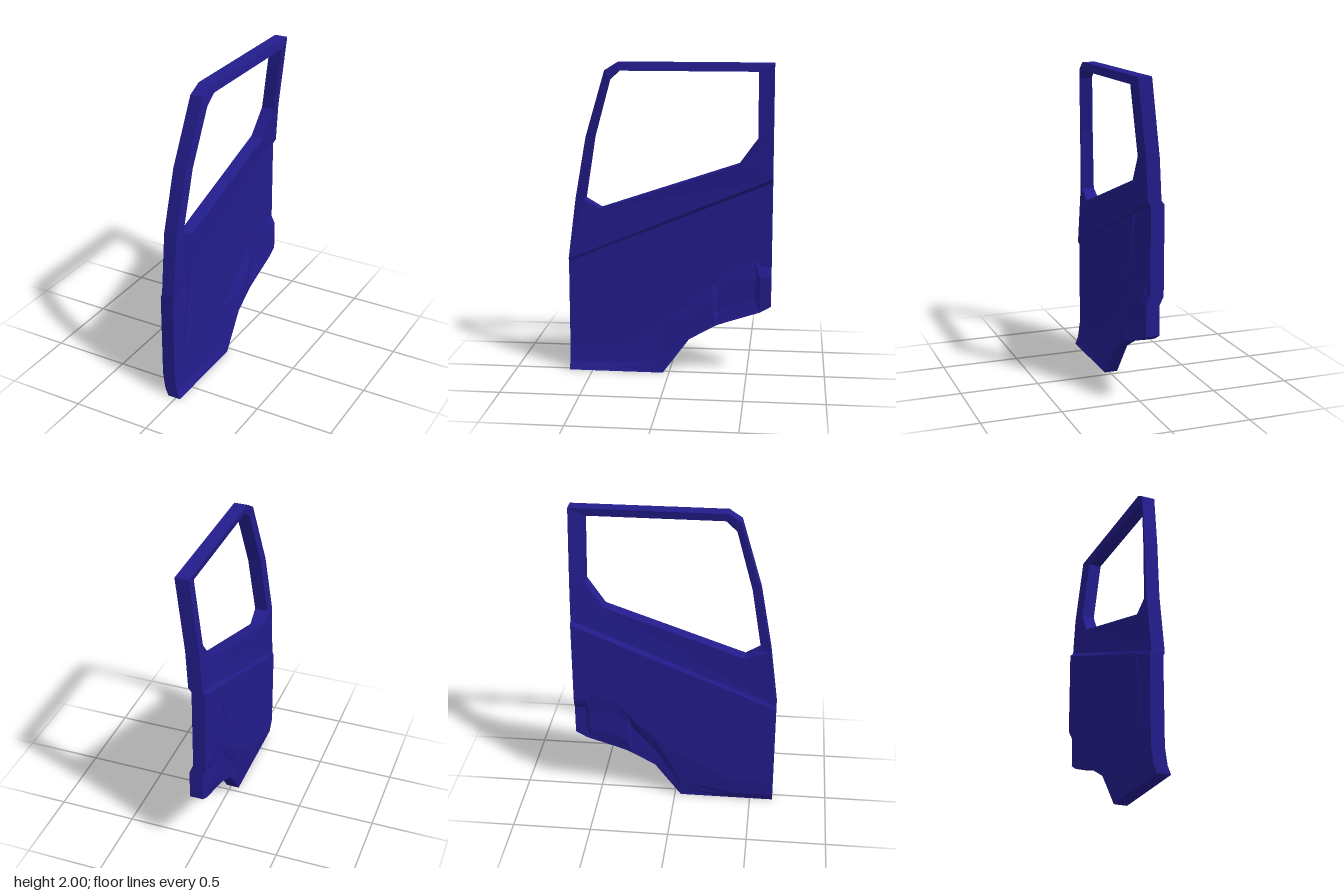
import * as THREE from 'three';

const THICK = 0.085; // the outer skin repeats the inner one at this distance
const SKIN = -0.005; // flat level of the lower inner skin

// Joins matching cross-sections with quads; closes into a ring or caps both ends
function loft(sections, ring) {
  const n = sections[0].length, count = sections.length;
  const pos = sections.flat(2), index = [];
  const quad = (a, b, c, d) => index.push(a, b, c, a, c, d);
  for (let i = 0; i < (ring ? count : count - 1); i++) {
    const s = i * n, t = ((i + 1) % count) * n;
    for (let j = 0; j < n; j++) {
      const k = (j + 1) % n;
      quad(s + j, s + k, t + k, t + j);
    }
  }
  if (!ring) {
    const e = (count - 1) * n;
    for (let j = 0; j < n / 2 - 1; j++) {
      quad(j, n - 1 - j, n - 2 - j, j + 1);
      quad(e + j, e + j + 1, e + n - 2 - j, e + n - 1 - j);
    }
  }
  const g = new THREE.BufferGeometry();
  g.setAttribute('position', new THREE.Float32BufferAttribute(pos, 3));
  g.setIndex(index);
  const flat = g.toNonIndexed();
  flat.computeVertexNormals();
  return flat;
}

// Row of inner-skin points, followed by the outer skin in reverse
const section = (row) => [
  ...row,
  ...row.map(([x, y, z]) => [x - THICK, y, z]).reverse(),
];

const beltY = (z) => 0.74 + (0.65 - z) * (0.54 / 1.3);
const beltX = (z) => 0.005 + (0.65 - z) * (0.01 / 1.3);

export function createModel() {
  const group = new THREE.Group();
  const material = new THREE.MeshStandardMaterial({ color: 0x231c8c, flatShading: true });
  const add = (name, geometry) => {
    const mesh = new THREE.Mesh(geometry, material);
    mesh.name = name;
    group.add(mesh);
    return mesh;
  };

  // Window frame: pairs of outer edge and window edge points, each x, y, z
  const frame = [
    [[0.0, 1.13, 0.6], [0.012, 1.13, 0.54]],
    [[0.027, 1.53, 0.525], [0.042, 1.53, 0.472]],
    [[0.072, 1.95, 0.395], [0.083, 1.89, 0.368]],
    [[0.08, 2.0, 0.315], [0.09, 1.95, 0.3]],
    [[0.08, 2.0, -0.65], [0.09, 1.95, -0.555]],
    [[0.028, 1.53, -0.65], [0.042, 1.53, -0.555]],
    [[beltX(-0.65), beltY(-0.65), -0.65], [0.028, 1.37, -0.44]],
    [[beltX(0.65), beltY(0.65), 0.65], [0.01, 1.07, 0.44]],
  ];
  add('windowFrame', loft(frame.map(section), true));

  // Lower door: per column z, flare top y, then [y, x] of crest, lower row and bottom edge
  const columns = [
    [0.65, 0.16, [0.05, 0.01], [0.025, 0.02], [0, 0.03]],
    [0.36, 0.16, [0.05, 0.01], [0.025, 0.02], [0, 0.03]],
    [0.04, 0.34, [0.12, 0.015], [0.05, 0.025], [0, 0.03]],
    [-0.13, 0.46, [0.35, 0.02], [0.29, 0.02], [0.23, 0.025]],
    [-0.28, 0.6, [0.52, 0.02], [0.41, 0.02], [0.315, 0.022]],
    [-0.31, 0.64, [0.56, 0.006], [0.42, 0.006], [0.33, 0.022]], // shallow recess starts
    [-0.38, 0.72, [0.63, 0.006], [0.45, 0.006], [0.355, 0.022]],
    [-0.55, 0.75, [0.63, 0.006], [0.5, 0.006], [0.41, 0.02]], // recess ends
    [-0.58, 0.72, [0.65, 0.02], [0.51, 0.02], [0.42, 0.02]],
    [-0.65, 0.7, [0.65, 0.02], [0.55, 0.02], [0.46, 0.02]],
  ];
  const lowerSections = columns.map(([z, top, ...rows]) => section([
    [beltX(z), beltY(z), z],
    [SKIN, beltY(z) - 0.024, z],
    [SKIN, top, z],
    ...rows.map(([y, x]) => [x, y, z]),
  ]));
  add('lowerDoor', loft(lowerSections, false));

  // Raised trim panel below the belt line; shape x runs along -z
  const outline = [
    [0.46, 0.8], [0.54, 0.33], [0.34, 0.36], [-0.08, 0.6],
    [-0.25, 0.71], [-0.34, 0.9], [-0.39, 1.145],
  ].map(([z, y]) => new THREE.Vector2(-z, y));
  const panel = add('trimPanel', new THREE.ExtrudeGeometry(new THREE.Shape(outline), {
    depth: THICK + 0.008, bevelEnabled: false,
  }));
  panel.rotation.y = Math.PI / 2;
  panel.position.x = SKIN - THICK - 0.002;

  return group;
}
